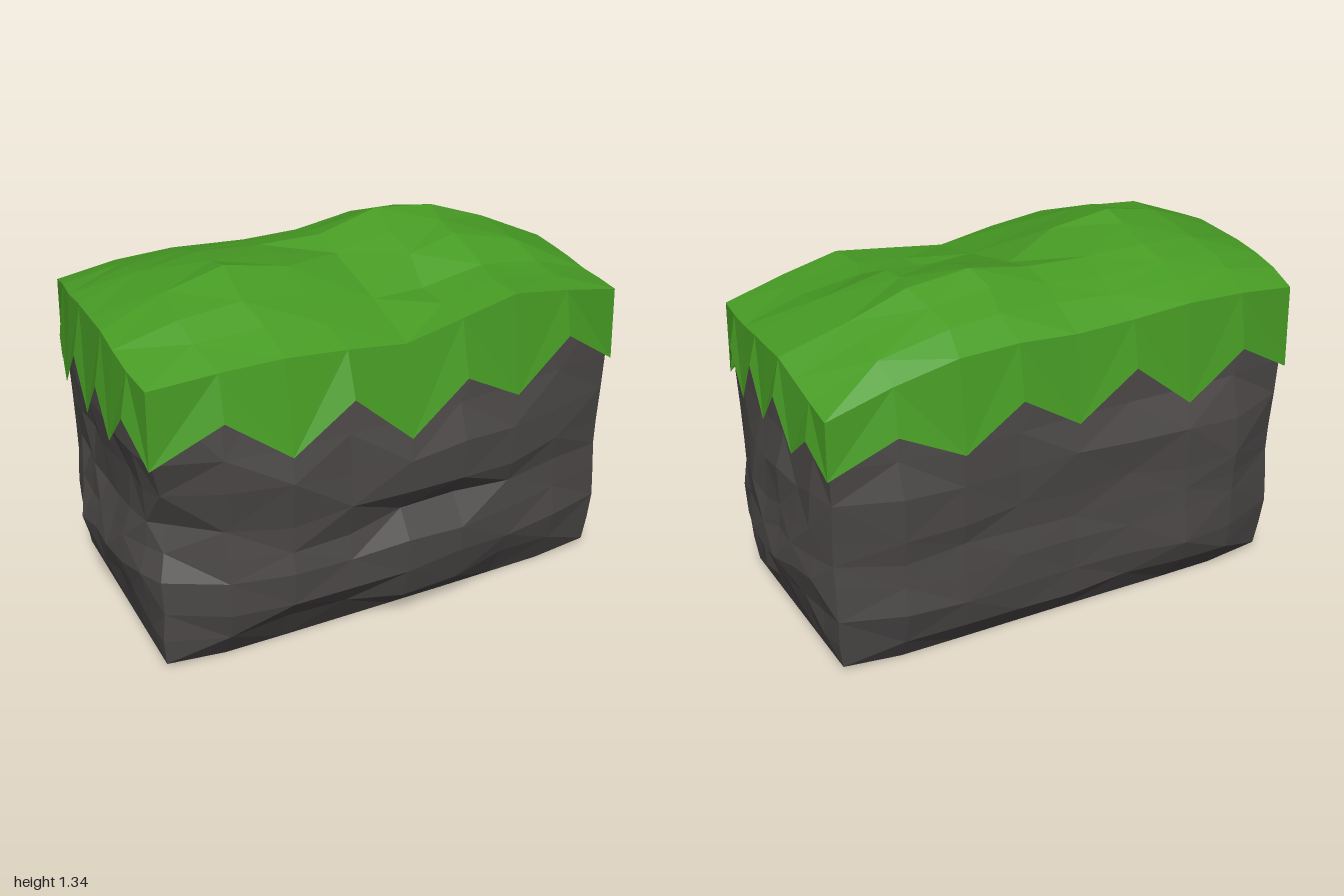
import * as THREE from 'three';

const N = 8;            // segments along each of the four sides
const RING = N * 4;     // columns around the block

// Plan corners (x, z): front -x, front +x, back +x, back -x
const corners = [[-0.94, 0.465], [0.905, 0.43], [0.905, -0.445], [-0.915, -0.515]];
const outward = [[0, 1], [1, 0], [0, -1], [-1, 0]];
// How far the turf swells beyond the straight line between corners, per side
const swell = [
  [0, 0.09, 0.12, 0.12, 0.11, 0.09, 0.065, 0.035],
  [0, 0.015, 0.02, 0.025, 0.03, 0.03, 0.02, 0.01],
  [0, 0.05, 0.08, 0.06, 0.045, 0.04, 0.04, 0.03],
  [0, 0.02, 0.04, 0.04, 0.04, 0.04, 0.04, 0.03],
];

// Repeatable jitter in -1..1
function jitter(a, b, c) {
  const s = Math.sin(a * 12.9898 + b * 78.233 + c * 37.719) * 43758.5453;
  return 2 * (s - Math.floor(s)) - 1;
}

const place = (i) => [Math.floor((i % RING) / N), i % N];   // side, step along it

// Point of the plan outline at column i, pushed out by d
function outline(i, y, d, scaleX = 1, scaleZ = 1) {
  const [side, k] = place(i), t = k / N;
  const a = corners[side], b = corners[(side + 1) % 4], o = outward[side];
  return [
    (a[0] + (b[0] - a[0]) * t) * scaleX + o[0] * d, y,
    (a[1] + (b[1] - a[1]) * t) * scaleZ + o[1] * d,
  ];
}

const swellAt = (i) => swell[place(i)[0]][place(i)[1]];

function meshFrom(name, tris, material) {
  const g = new THREE.BufferGeometry();
  g.setAttribute('position', new THREE.Float32BufferAttribute(tris.flat(2), 3));
  g.computeVertexNormals();
  const m = new THREE.Mesh(g, material);
  m.name = name;
  return m;
}

function quad(tris, a, b, c, d, flip) {
  if (flip) tris.push([a, b, d], [b, c, d]);
  else tris.push([a, b, c], [a, c, d]);
}

// Rock rows: height, x scale, z scale of the corner plan
const rockRows = [
  [0, 0.965, 0.91], [0.12, 0.98, 0.93], [0.23, 0.985, 0.96],
  [0.36, 0.985, 0.94], [0.45, 0.985, 0.92], [0.55, 0.985, 0.93],
  [0.7, 0.985, 0.96], [0.84, 0.99, 0.97], [1.1, 0.98, 0.96],
];
const TOP = rockRows.length - 1;
// Bulge of each rock side by row, and its spread along the side
const rockDepth = [
  [0.01, 0.11, 0.14, 0.14, 0.13, 0.15, 0.135],
  [0, 0.02, 0.045, 0.105, 0.09, 0.08, 0.065],
  [0.01, 0.095, 0.11, 0.115, 0.115, 0.115, 0.1],
  [0, 0.02, 0.055, 0.085, 0.055, 0.03, 0.025],
];
const rockSpread = [
  [0, 0.75, 1, 1, 1, 0.95, 0.75, 0.45],
  [0, 0.5, 0.8, 1, 1, 0.9, 0.7, 0.4],
  [0, 0.75, 0.85, 0.75, 0.7, 0.8, 1, 0.85],
  [0, 0.5, 0.8, 1, 0.95, 0.8, 0.7, 0.4],
];
// Notch worn into the front corner on the -x side, by row
const notch = [0, 0.005, 0.02, 0.015, 0.045, 0.07, 0.03];

function rockPoint(i, j) {
  const [y, sx, sz] = rockRows[j];
  const [side, k] = place(i), col = i % RING;
  // the upper rows tuck in under the turf
  if (j === TOP) return outline(i, rimPoint(i)[1] - 0.03, swellAt(i) * 0.45, sx, sz);
  if (j === TOP - 1) return outline(i, y, swellAt(i) * 0.9, sx, sz);
  // the foot lifts slightly at the corners and ends
  if (j === 0) return outline(i, side % 2 || k === 0 ? 0.02 : 0, rockDepth[side][0] * rockSpread[side][k], sx, sz);
  let d = rockDepth[side][j] * rockSpread[side][k];
  if (k > 0) d += 0.012 * jitter(col, j, 1);
  // undercut ledge, low hollow and sloping shelf on the front
  if (side === 0 && (k === 4 || k === 5) && j === 4) d -= 0.045;
  if (side === 0 && (k === 2 || k === 3) && j === 1) d -= 0.04;
  if (side === 0 && (k === 1 || k === 2) && j === 5) d -= 0.03;
  if (col === 1 || col === RING - 1) d -= notch[j] * 0.4;
  const p = outline(i, k > 0 ? y + 0.02 * jitter(col, j, 2) : y, d, sx, sz);
  if (col === 0) {
    p[0] += notch[j];
    p[2] -= notch[j];
  }
  return p;
}

function buildRock(material) {
  const tris = [];
  for (let j = 0; j < TOP; j++) {
    for (let i = 0; i < RING; i++) {
      quad(tris, rockPoint(i, j), rockPoint(i + 1, j), rockPoint(i + 1, j + 1), rockPoint(i, j + 1), (i + j) % 2);
    }
  }
  // underside
  for (let i = 0; i < RING; i++) tris.push([[0, 0.01, 0], rockPoint(i + 1, 0), rockPoint(i, 0)]);
  return meshFrom('rock', tris, material);
}

// Turf heights from -x to +x, on lines running from front (0) to back (8)
const turfLines = [0, 2, 3, 5, 7, 8];
const turfHeights = [
  [1.12, 1.16, 1.17, 1.15, 1.12, 1.16, 1.20, 1.16, 1.11],
  [1.17, 1.25, 1.275, 1.24, 1.18, 1.17, 1.21, 1.18, 1.11],
  [1.19, 1.28, 1.33, 1.29, 1.22, 1.25, 1.28, 1.22, 1.12],
  [1.19, 1.26, 1.285, 1.275, 1.28, 1.335, 1.31, 1.23, 1.13],
  [1.17, 1.21, 1.22, 1.215, 1.225, 1.25, 1.24, 1.18, 1.06],
  [1.14, 1.17, 1.18, 1.165, 1.16, 1.18, 1.18, 1.12, 1.03],
];
// Front-to-back spacing of the inner turf lines
const turfSpacing = [0, 1, 2.1, 3.4, 4.4, 5.45, 6.3, 7.1, 8];

function turfHeight(u, v) {
  let r = 0;
  while (turfLines[r + 1] < v) r++;
  const t = (v - turfLines[r]) / (turfLines[r + 1] - turfLines[r]);
  return turfHeights[r][u] * (1 - t) + turfHeights[r + 1][u] * t;
}

// Crease where the turf turns down, at column i
function rimPoint(i) {
  const [side, k] = place(i);
  const [u, v] = [[k, 0], [N, k], [N - k, N], [0, N - k]][side];
  return outline(i, turfHeight(u, v), swellAt(i) * 0.65);
}

function turfPoint(u, v) {
  const front = rimPoint(u), back = rimPoint(3 * N - u);
  const right = rimPoint(N + v), left = rimPoint(RING - v);
  const border = u % N === 0 || v % N === 0;
  const s = border ? 0 : 0.02;
  const w = border ? v : turfSpacing[v];
  return [
    left[0] + (right[0] - left[0]) * u / N + s * jitter(u, v, 3),
    turfHeight(u, v),
    front[2] + (back[2] - front[2]) * w / N + s * jitter(u, v, 4),
  ];
}

function buildTurf(material) {
  const tris = [];
  for (let v = 0; v < N; v++) {
    for (let u = 0; u < N; u++) {
      quad(tris, turfPoint(u, v), turfPoint(u + 1, v), turfPoint(u + 1, v + 1), turfPoint(u, v + 1), (u + v) % 2);
    }
  }
  return meshFrom('turfTop', tris, material);
}

// Zigzag hem: even columns hang low, odd columns are notched high
const hem = [
  [0.83, 1.0, 0.83, 0.99, 0.78, 0.95, 0.82, 0.99],
  [0.83, 0.98, 0.83, 1.01, 0.85, 0.99, 0.82, 0.92],
  [0.81, 0.95, 0.84, 0.98, 0.83, 0.99, 0.8, 0.96],
  [0.82, 0.97, 0.84, 1.0, 0.83, 0.99, 0.84, 0.98],
];

function hemPoint(i) {
  const [side, k] = place(i);
  return outline(i, hem[side][k], k ? swellAt(i) + 0.015 : 0, 1.005, 1.01);
}

function buildFringe(material) {
  const tris = [];
  for (let i = 0; i < RING; i++) quad(tris, hemPoint(i), hemPoint(i + 1), rimPoint(i + 1), rimPoint(i), i % 2);
  return meshFrom('turfFringe', tris, material);
}

export function createModel() {
  const rock = new THREE.MeshStandardMaterial({ color: 0x4a4646, flatShading: true });
  rock.name = 'dark stone';
  const grass = new THREE.MeshStandardMaterial({ color: 0x479b24, flatShading: true, side: THREE.DoubleSide });
  grass.name = 'grass green';

  const group = new THREE.Group();
  group.name = 'grassyBlock';
  group.add(buildRock(rock), buildTurf(grass), buildFringe(grass));
  return group;
}
